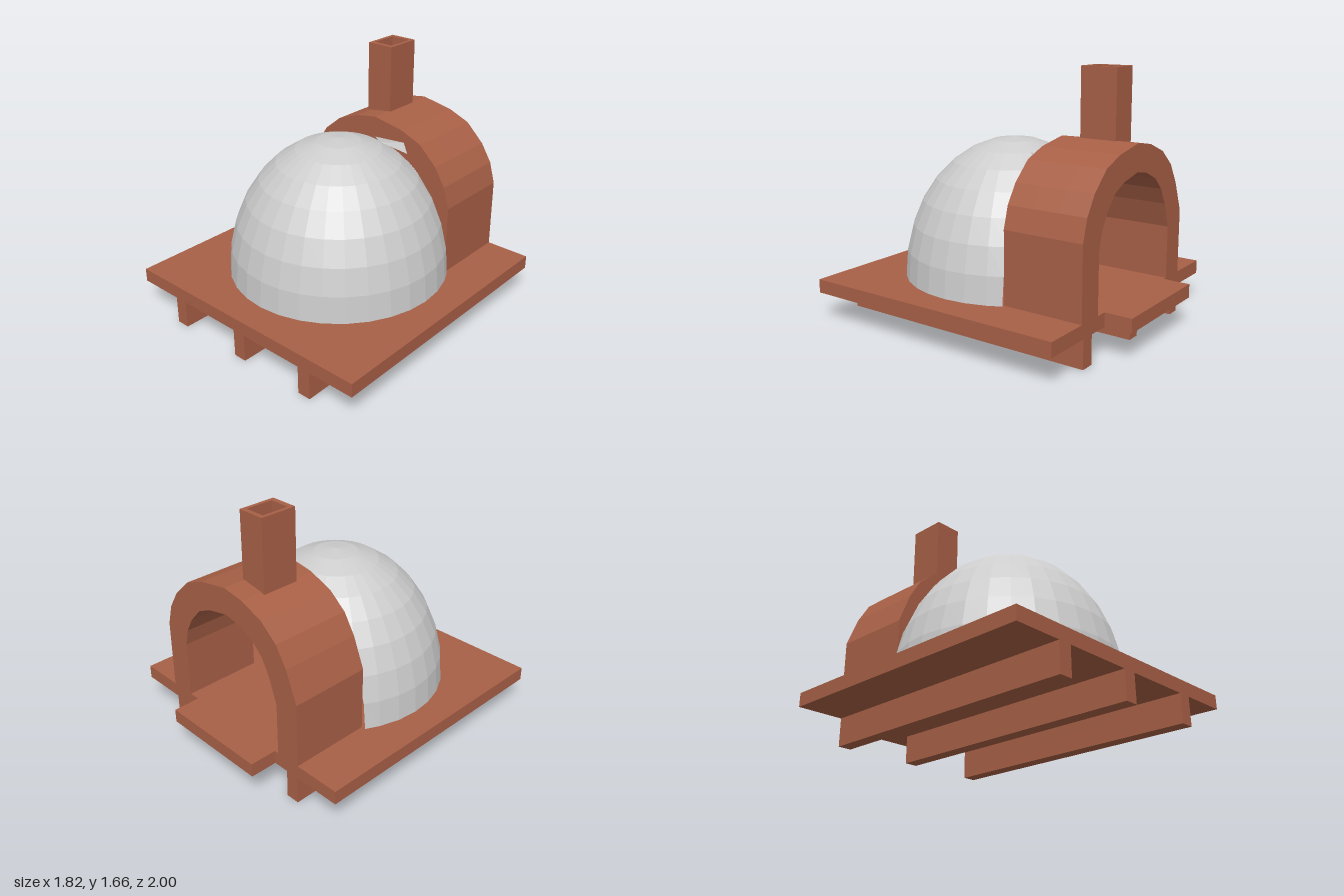
import * as THREE from 'three';

export function createModel() {
  const model = new THREE.Group();
  const brick = new THREE.MeshStandardMaterial({ color: 0xa86046, flatShading: true });
  brick.name = 'brick';
  const plaster = new THREE.MeshStandardMaterial({ color: 0xcccccc, flatShading: true, side: THREE.DoubleSide });
  plaster.name = 'pale plaster';

  const add = (name, geometry, material, parent = model) => {
    const mesh = new THREE.Mesh(geometry, material);
    mesh.name = name;
    parent.add(mesh);
    return mesh;
  };
  // box given by its lower and upper limits
  const box = (name, [x0, y0, z0], [x1, y1, z1]) =>
    add(name, new THREE.BoxGeometry(x1 - x0, y1 - y0, z1 - z0), brick)
      .position.set((x0 + x1) / 2, (y0 + y1) / 2, (z0 + z1) / 2);
  const polygon = (points) => new THREE.Shape(points.map(([x, y]) => new THREE.Vector2(x, y)));

  // base slab, rear ledge and support beams
  const floor = 0.275, under = 0.185;
  box('baseSlab', [-0.91, under, -0.82], [0.91, floor, 1]);
  box('rearLedge', [-0.4, under, -1], [0.36, floor, -0.82]);
  for (const x of [-0.55, 0, 0.545]) box('supportBeam', [x - 0.045, 0, -0.82], [x + 0.045, under, 1]);

  // entrance arch, from its right foot over the crown to its left foot
  const outer = [[0.61, floor], [0.61, 0.74], [0.57, 0.88], [0.495, 1.0], [0.37, 1.12], [0.22, 1.18], [0, 1.22],
    [-0.155, 1.195], [-0.32, 1.13], [-0.44, 1.03], [-0.52, 0.9], [-0.6, 0.7], [-0.6, floor]];
  const inner = outer.map(([x, y]) => [x * 0.715, floor + (y - floor) * 0.815]);
  const heightAt = (line, x) => {
    const i = line.findIndex((p) => p[0] <= x);
    const [a, b] = [line[i - 1], line[i]];
    return b[1] + (a[1] - b[1]) * (x - b[0]) / (a[0] - b[0]);
  };
  const arch = new THREE.Group();
  arch.name = 'entranceArch';
  model.add(arch);
  const archPiece = (out, inn, z0, z1) => {
    const geometry = new THREE.ExtrudeGeometry(polygon([...out, ...[...inn].reverse()]), { depth: z1 - z0, bevelEnabled: false });
    geometry.translate(0, 0, z0);
    add('archSection', geometry, brick, arch);
  };
  const flue = { x0: -0.154, x1: -0.015, z0: -0.64, z1: -0.455 };
  archPiece(outer, inner, -0.82, flue.z0);
  archPiece(outer, inner, flue.z1, -0.28);
  // the middle section is split to leave the flue open
  const rightOf = (line, x) => [...line.filter((p) => p[0] > x), [x, heightAt(line, x)]];
  const leftOf = (line, x) => [[x, heightAt(line, x)], ...line.filter((p) => p[0] < x)];
  archPiece(rightOf(outer, flue.x1), rightOf(inner, flue.x1), flue.z0, flue.z1);
  archPiece(leftOf(outer, flue.x0), leftOf(inner, flue.x0), flue.z0, flue.z1);

  // hollow square chimney
  const rectangle = (x0, x1, z0, z1) => [[x0, -z1], [x1, -z1], [x1, -z0], [x0, -z0]];
  const tube = polygon(rectangle(-0.178, 0.01, -0.67, -0.42));
  tube.holes.push(polygon(rectangle(flue.x0, flue.x1, flue.z0, flue.z1)));
  const chimney = new THREE.ExtrudeGeometry(tube, { depth: 0.54, bevelEnabled: false });
  chimney.rotateX(-Math.PI / 2);
  add('chimney', chimney, brick).position.y = 1.12;

  // half-ellipsoid dome, cut open where it meets the arch
  const cut = -0.28;
  const shell = new THREE.SphereGeometry(1, 32, 8, 0, Math.PI * 2, 0, Math.PI / 2).toNonIndexed();
  shell.scale(0.727, 0.91, 0.727).translate(0, floor, 0.085);
  const p = shell.attributes.position;
  const kept = [];
  for (let i = 0; i < p.count; i += 3) {
    const corners = [0, 1, 2].map((k) => [p.getX(i + k), p.getY(i + k), p.getZ(i + k)]);
    if (corners.every((c) => c[2] <= cut + 0.001)) continue;
    for (const c of corners) {
      // slide cut corners along the curved wall to the arch face
      if (c[2] < cut) {
        const level = Math.max(0, 1 - ((c[1] - floor) / 0.91) ** 2);
        const chord = Math.sqrt(Math.max(0, 0.727 ** 2 * level - (cut - 0.085) ** 2));
        if (Math.abs(c[0]) > 0.35) c[0] = Math.sign(c[0]) * chord;
        else c[1] = Math.max(c[1], floor + 0.91 * Math.sqrt(1 - (c[0] ** 2 + (cut - 0.085) ** 2) / 0.727 ** 2));
        c[2] = cut;
      }
      kept.push(...c);
    }
  }
  const domeGeometry = new THREE.BufferGeometry();
  domeGeometry.setAttribute('position', new THREE.Float32BufferAttribute(kept, 3));
  domeGeometry.computeVertexNormals();
  add('dome', domeGeometry, plaster);

  // small raised chip of plaster where the dome joins the arch
  const chip = new THREE.BufferGeometry();
  chip.setAttribute('position', new THREE.Float32BufferAttribute([
    0.15, 1.12, -0.15, 0.24, 1.1, cut, 0, 1.08, cut,
    0.15, 1.12, -0.15, 0.27, 1.03, cut, 0.24, 1.1, cut], 3));
  chip.computeVertexNormals();
  add('plasterChip', chip, plaster);
  return model;
}
